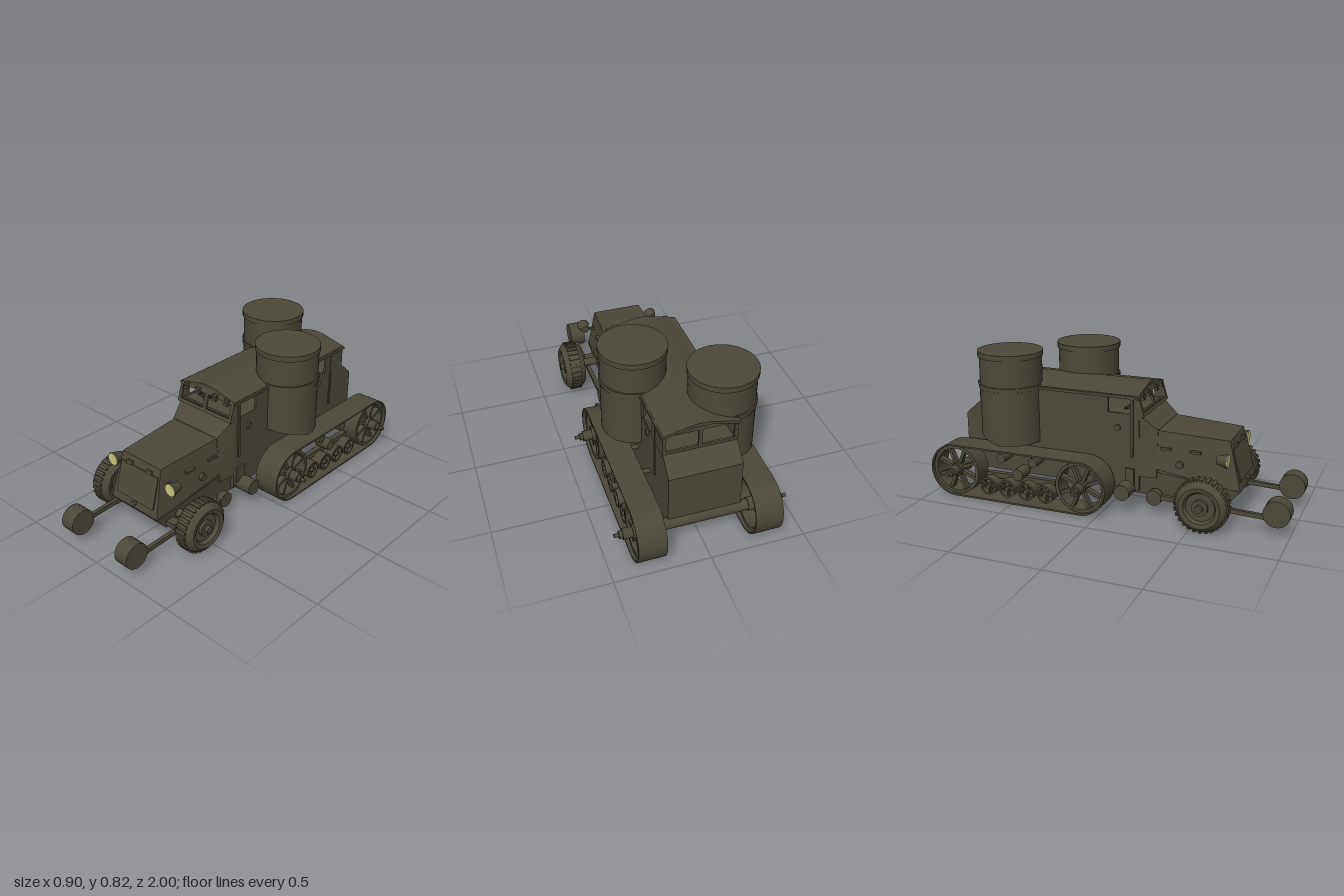
import * as THREE from 'three';
import { toCreasedNormals } from 'three/addons/utils/BufferGeometryUtils.js';

export function createModel() {
  const olive = new THREE.MeshStandardMaterial({ color: 0x4b473a });
  olive.name = 'olive drab';
  const glass = new THREE.MeshStandardMaterial({ color: 0xcccb7c });
  glass.name = 'lamp yellow';

  const model = new THREE.Group();
  model.name = 'armouredHalfTrack';
  const body = new THREE.Group();
  body.name = 'body';
  body.position.x = -0.012;
  model.add(body);

  const add = (parent, name, geo, x = 0, y = 0, z = 0, mat = olive) => {
    const m = new THREE.Mesh(geo, mat);
    m.name = name;
    m.position.set(x, y, z);
    parent.add(m);
    return m;
  };
  const box = (w, h, d) => new THREE.BoxGeometry(w, h, d);
  const axleCyl = (r, len, n = 28) => new THREE.CylinderGeometry(r, r, len, n).rotateZ(Math.PI / 2);
  const polygon = pts => new THREE.Shape(pts.map(p => new THREE.Vector2(...p)));
  const rectHole = (x0, y0, x1, y1) => new THREE.Path([[x0, y0], [x0, y1], [x1, y1], [x1, y0]].map(p => new THREE.Vector2(...p)));
  const extrude = (shape, depth, seg = 20) =>
    new THREE.ExtrudeGeometry(shape, { depth, bevelEnabled: false, curveSegments: seg }).translate(0, 0, -depth / 2);
  // shape drawn as (z, y), thickness along x
  const sideExtrude = (shape, width, seg) => extrude(shape, width, seg).rotateY(-Math.PI / 2);

  // box whose ends are [zBottom, zTop, yBottom, yTop, halfWidthBottom, halfWidthTop]
  const taperedBox = (back, front) => {
    const g = box(2, 1, 1), p = g.attributes.position;
    for (let i = 0; i < p.count; i++) {
      const e = p.getZ(i) > 0 ? front : back, t = p.getY(i) > 0 ? 1 : 0;
      p.setXYZ(i, p.getX(i) * e[4 + t], e[2 + t], e[t]);
    }
    g.computeVertexNormals();
    return g;
  };

  // Hull, cowl, hood and front chassis
  add(body, 'hull', sideExtrude(polygon([[0.18, 0.12], [0.18, 0.54], [-0.765, 0.52], [-0.855, 0.44], [-0.855, 0.13]]), 0.38));
  add(body, 'cowl', taperedBox([0.17, 0.17, 0.2, 0.545, 0.19, 0.192], [0.275, 0.275, 0.2, 0.46, 0.182, 0.16]));
  add(body, 'hood', taperedBox([0.27, 0.27, 0.25, 0.458, 0.18, 0.157], [0.725, 0.655, 0.18, 0.44, 0.168, 0.138]));
  add(body, 'frontChassis', taperedBox([0.1, 0.1, 0.1, 0.25, 0.172, 0.172], [0.65, 0.728, 0.095, 0.185, 0.155, 0.172]));

  // Front hatch with hinges and crank socket, lying on the sloped radiator plate
  const hatch = new THREE.Group();
  hatch.name = 'radiatorHatch';
  hatch.position.set(0, 0.31, 0.692);
  hatch.rotation.x = -Math.atan2(0.07, 0.26);
  body.add(hatch);
  add(hatch, 'hatchPlate', box(0.27, 0.175, 0.008));
  for (const s of [-1, 1]) add(hatch, 'hatchHinge', box(0.038, 0.022, 0.02), s * 0.072, 0.095, 0);
  add(hatch, 'crankSocket', new THREE.CylinderGeometry(0.014, 0.014, 0.02, 16).rotateX(Math.PI / 2), 0, -0.105, 0.004);

  // Cab walls with window openings
  for (const s of [-1, 1]) {
    const wall = polygon([[0.2, 0.53], [0.165, 0.64], [-0.765, 0.64], [-0.765, 0.51], [0.15, 0.5]]);
    wall.holes.push(rectHole(0.005, 0.54, 0.13, 0.622));
    if (s > 0) wall.holes.push(rectHole(-0.605, 0.53, -0.475, 0.62));
    add(body, 'cabSide', sideExtrude(wall, 0.012), s * 0.186);
    add(body, 'doorEdge', box(0.012, 0.33, 0.016), s * 0.193, 0.47, 0.14);
    add(body, 'doorRail', box(0.01, 0.012, 0.17), s * 0.193, 0.63, 0.065);
    add(body, 'rearDoorEdge', box(0.008, 0.32, 0.01), s * 0.192, 0.46, -0.655);
    for (const [y, z] of [[0.46, 0.06], [0.48, -0.54]])
      add(body, 'pistolPort', axleCyl(0.017, 0.014, 16), s * 0.193, y, z);
    add(body, 'hoodPort', axleCyl(0.02, 0.02, 16), s * 0.174, 0.29, 0.4);
    for (const z of [0.32, 0.48]) add(body, 'hoodVent', box(0.02, 0.014, 0.06), s * 0.164, 0.365, z);
  }
  const pane = (y0, y1) => {
    const w = polygon([[-0.192, y0 - 0.02], [0.192, y0 - 0.02], [0.192, 0.635], [0, 0.66], [-0.192, 0.635]]);
    w.holes.push(rectHole(-0.173, y0, -0.01, y1), rectHole(0.01, y0, 0.173, y1));
    return extrude(w, 0.012);
  };
  const screen = add(body, 'windscreenFrame', pane(0.545, 0.622).translate(0, -0.64, 0), 0, 0.64, 0.168);
  screen.rotation.x = -0.3;
  add(body, 'rearWindowFrame', pane(0.535, 0.628), 0, 0, -0.758);
  for (const x of [-0.145, -0.062, 0.062, 0.145]) {
    add(body, 'visorHinge', box(0.03, 0.014, 0.02), x, 0.638, 0.178);
    add(body, 'visorHinge', box(0.028, 0.016, 0.02), x, 0.619, 0.184);
  }

  // Arched roof
  const roof = new THREE.Shape();
  roof.moveTo(-0.2, 0.622);
  roof.lineTo(-0.192, 0.622);
  roof.lineTo(-0.05, 0.655);
  roof.lineTo(0.05, 0.655);
  roof.lineTo(0.192, 0.622);
  roof.lineTo(0.2, 0.622);
  roof.lineTo(0.2, 0.636);
  roof.lineTo(0.05, 0.671);
  roof.quadraticCurveTo(0, 0.68, -0.05, 0.671);
  roof.lineTo(-0.2, 0.636);
  add(body, 'roof', toCreasedNormals(extrude(roof, 0.945, 6), 0.3), 0, 0, -0.298);

  // Steering wheel
  const steering = add(body, 'steeringWheel', new THREE.TorusGeometry(0.038, 0.005, 8, 24), -0.09, 0.555, 0.1);
  steering.rotation.x = Math.PI / 2 - 0.35;
  const column = add(body, 'steeringColumn', new THREE.CylinderGeometry(0.006, 0.006, 0.07, 8), -0.09, 0.535, 0.112);
  column.rotation.x = -0.35;

  // Two staggered turrets: full drum above the roof, half-round sponson outside the wall
  for (const [s, z] of [[1, -0.265], [-1, -0.57]]) {
    const turret = new THREE.Group();
    turret.name = s > 0 ? 'leftTurret' : 'rightTurret';
    turret.position.set(s * 0.18, 0, z);
    if (s < 0) turret.rotation.y = Math.PI;
    body.add(turret);
    const low = new THREE.CylinderGeometry(0.17, 0.17, 0.315, 32, 1, false, 0, Math.PI);
    const p = low.attributes.position;
    for (let i = 0; i < p.count; i++) if (p.getY(i) < 0 && p.getZ(i) > 0) p.setY(i, p.getY(i) + p.getZ(i) * 0.26);
    add(turret, 'sponson', low, 0, 0.4825, 0);
    add(turret, 'drum', new THREE.CylinderGeometry(0.17, 0.17, 0.165, 48), 0, 0.722, 0);
    add(turret, 'drumRim', new THREE.CylinderGeometry(0.177, 0.177, 0.03, 48), 0, 0.81, 0);
    add(turret, 'turretRing', new THREE.CylinderGeometry(0.177, 0.177, 0.022, 32, 1, false, 0, Math.PI), 0, 0.636, 0);
    add(turret, 'lowerRing', new THREE.CylinderGeometry(0.173, 0.173, 0.012, 32, 1, false, 0, Math.PI), 0, 0.617, 0);
  }

  // Front wheels, headlamps, ditching rollers and side rollers
  const tyre = toCreasedNormals(new THREE.LatheGeometry([[0, -0.03], [0.06, -0.03], [0.085, -0.055], [0.108, -0.06],
    [0.128, -0.045], [0.137, -0.025], [0.137, 0.025], [0.128, 0.045], [0.108, 0.06], [0.085, 0.055], [0.075, 0.035], [0, 0.03]]
    .map(p => new THREE.Vector2(...p)), 40).rotateZ(-Math.PI / 2), 0.6);
  for (const s of [-1, 1]) {
    const wheel = new THREE.Group();
    wheel.name = 'frontWheel';
    wheel.position.set(s * 0.316, 0.148, 0.567);
    if (s < 0) wheel.rotation.y = Math.PI;
    body.add(wheel);
    add(wheel, 'tyre', tyre);
    add(wheel, 'hub', axleCyl(0.042, 0.09), 0.005);
    add(wheel, 'hubCap', axleCyl(0.02, 0.13, 16), 0.005);
    for (let i = 0; i < 28; i++) {
      const a = i / 28 * Math.PI * 2;
      const lug = add(wheel, 'treadLug', box(0.062, 0.012, 0.017), 0, Math.cos(a) * 0.138, Math.sin(a) * 0.138);
      lug.rotation.x = a;
    }
    const lamp = new THREE.CylinderGeometry(0.037, 0.022, 0.055, 28).rotateX(Math.PI / 2);
    add(body, 'headlamp', lamp, s * 0.212, 0.358, 0.637);
    add(body, 'headlampLens', new THREE.CylinderGeometry(0.034, 0.034, 0.006, 28).rotateX(Math.PI / 2), s * 0.212, 0.358, 0.666, glass);
    add(body, 'headlampBracket', box(0.07, 0.014, 0.014), s * 0.17, 0.35, 0.625);

    add(body, 'ditchingRoller', axleCyl(0.07, 0.085, 32), s * 0.202, 0.122, 0.93);
    const arm = add(body, 'rollerArm', box(0.022, 0.024, 0.66), s * 0.212, 0.1, 0.59);
    arm.rotation.x = 0.04;
    add(body, 'armPivot', axleCyl(0.042, 0.036), s * 0.208, 0.105, 0.275);
    add(body, 'sideRoller', axleCyl(0.043, 0.11), s * 0.227, 0.13, 0.115);
    add(body, 'rollerBracket', box(0.025, 0.09, 0.05), s * 0.19, 0.195, 0.13);
  }
  add(body, 'frontAxle', axleCyl(0.024, 0.56, 16), 0, 0.15, 0.567);
  add(body, 'frontSpring', box(0.44, 0.03, 0.05), 0, 0.13, 0.63);

  // Spoked wheel built from a rim ring, spokes and hub
  const spokedWheel = (name, r, rim, width, n) => {
    const g = new THREE.Group();
    g.name = name;
    const ring = new THREE.Shape().absarc(0, 0, r, 0, Math.PI * 2);
    ring.holes.push(new THREE.Path().absarc(0, 0, r - rim, 0, Math.PI * 2, true));
    add(g, 'rim', toCreasedNormals(sideExtrude(ring, width, 20), 0.6));
    add(g, 'hub', axleCyl(r * 0.25, width * 1.1, 20));
    for (let i = 0; i < n; i++) {
      const a = (i + 0.5) / n * Math.PI * 2;
      const spoke = add(g, 'spoke', box(width * 0.3, r - rim * 0.5, r * 0.12), width * 0.25, Math.cos(a) * r / 2, Math.sin(a) * r / 2);
      spoke.rotation.x = a;
    }
    return g;
  };

  // Track belt outline: two half circles joined by straight runs
  const front = -0.097, rear = -0.85;
  const belt = (path, r) => {
    path.absarc(front, 0.15, r, -Math.PI / 2, Math.PI / 2);
    path.absarc(rear, 0.15, r, Math.PI / 2, Math.PI * 1.5);
    path.closePath();
    return path;
  };
  const beltShape = belt(new THREE.Shape(), 0.15);
  beltShape.holes.push(belt(new THREE.Path(), 0.141));
  const beltGeo = toCreasedNormals(sideExtrude(beltShape, 0.145, 20), 0.5);

  for (const s of [-1, 1]) {
    const track = new THREE.Group();
    track.name = s > 0 ? 'leftTrack' : 'rightTrack';
    track.position.x = s * 0.3;
    if (s < 0) track.scale.x = -1;
    model.add(track);
    add(track, 'belt', beltGeo);
    const put = (g, y, z) => { g.position.set(0, y, z); track.add(g); };
    for (const z of [front, rear]) {
      put(spokedWheel('driveWheel', 0.141, 0.018, 0.11, 8), 0.15, z);
      add(track, 'axleBoss', axleCyl(0.028, 0.05, 16), 0.085, 0.15, z);
      add(track, 'axleNut', axleCyl(0.02, 0.025, 12), 0.115, 0.15, z);
      add(track, 'axleTip', axleCyl(0.01, 0.06, 12), 0.122, 0.15, z);
    }
    for (let i = 0; i < 4; i++) put(spokedWheel('roadWheel', 0.05, 0.01, 0.1, 5), 0.076, -0.305 - i * 0.116);
    for (const z of [-0.375, -0.567]) add(track, 'returnRoller', axleCyl(0.027, 0.1, 20), 0, 0.25, z);
    add(track, 'bogiePivot', axleCyl(0.033, 0.09, 20), 0, 0.165, -0.472);
    add(track, 'bogieBeam', box(0.03, 0.03, 0.42), -0.02, 0.125, -0.48);
    for (const [y, z] of [[0.25, -0.375], [0.25, -0.567], [0.165, -0.472]])
      add(track, 'rollerShaft', axleCyl(0.012, 0.14, 10), -0.07, y, z);
  }
  add(model, 'rearAxle', axleCyl(0.03, 0.6, 20), 0, 0.15, rear);
  add(model, 'frontTrackAxle', axleCyl(0.024, 0.6, 20), 0, 0.15, front);

  return model;
}
